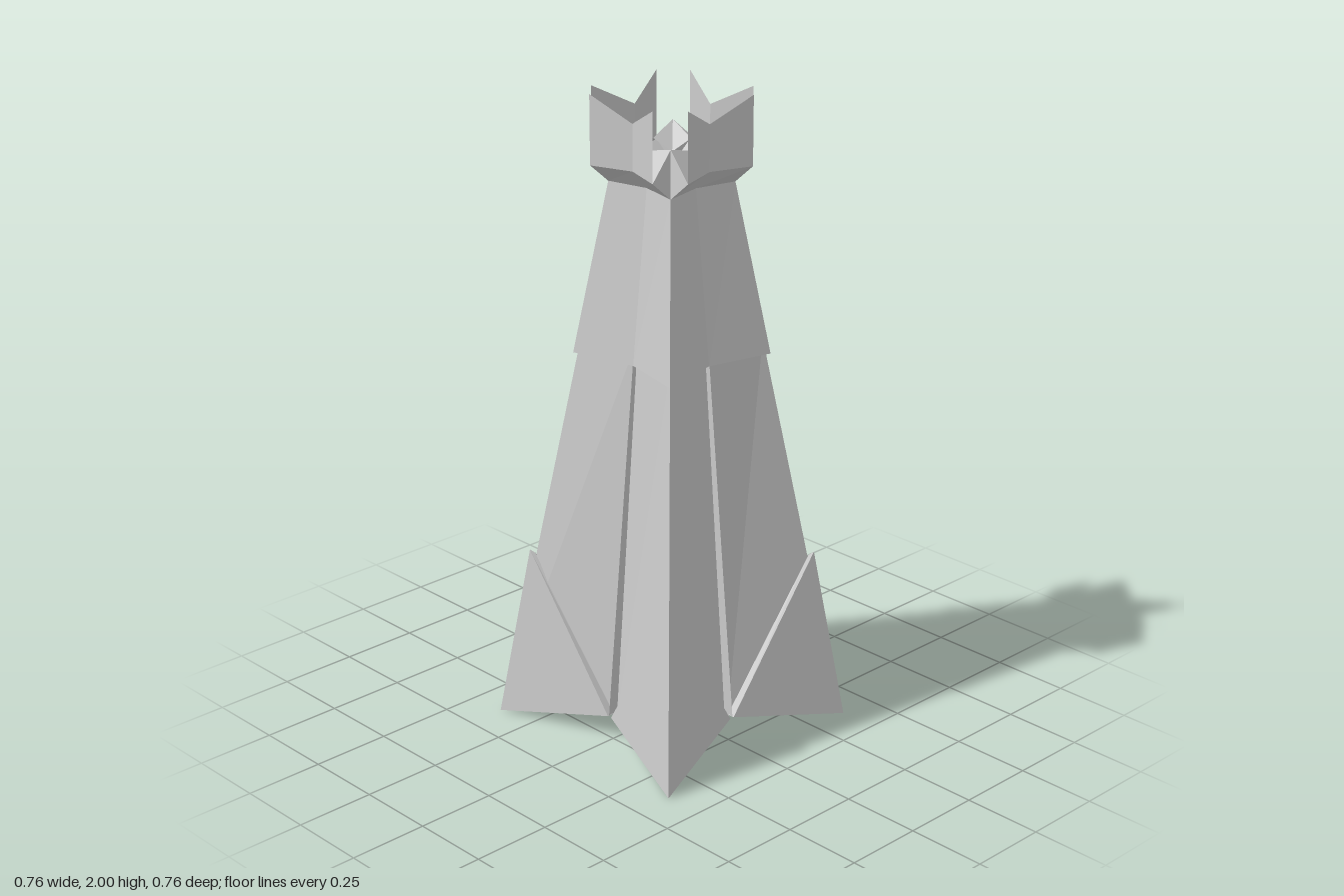
import * as THREE from 'three';

// Each part is described for one eighth (x >= 0, z >= x), as polygons
// counter-clockwise from outside, then mirrored over the x = z diagonal
// and turned four times around the y axis.
function foldedPart(name, polygons, material) {
  const pos = [];
  const fan = (pts) => {
    for (let i = 1; i < pts.length - 1; i++) pos.push(...pts[0], ...pts[i], ...pts[i + 1]);
  };
  for (let k = 0; k < 4; k++) {
    const c = [1, 0, -1, 0][k];
    const s = [0, 1, 0, -1][k];
    const turn = ([x, y, z]) => [c * x + s * z, y, -s * x + c * z];
    for (const poly of polygons) {
      fan(poly.map(turn));
      fan(poly.map(([x, y, z]) => [z, y, x]).reverse().map(turn));
    }
  }
  const geo = new THREE.BufferGeometry();
  geo.setAttribute('position', new THREE.Float32BufferAttribute(pos, 3));
  geo.computeVertexNormals();
  const mesh = new THREE.Mesh(geo, material);
  mesh.name = name;
  return mesh;
}

export function createModel() {
  const group = new THREE.Group();
  group.name = 'foldedPaperTower';
  const paper = new THREE.MeshStandardMaterial({
    color: 0xcccccc, flatShading: true, side: THREE.DoubleSide,
  });
  const add = (name, polygons) => group.add(foldedPart(name, polygons, paper));

  const gap = 0.007; // half width of the slit between the wings
  const at = (r, y) => [r, y, r]; // point on a corner ridge
  const valley = (z, y, x = gap) => [x, y, z]; // point on a side crease

  // Four tapering wings with the walls of the slits
  add('towerWings', [
    [valley(0.24, 0.08), at(0.36, 0.08), at(0.19, 1.25), valley(0.147, 1.25)],
    [valley(0.26, 0.08), valley(0.147, 1.25), valley(0.06, 1.25), valley(0.1, 0.12)],
  ]);

  // Pointed flaps wrapped around the foot of each wing
  add('footFlaps', [
    [valley(0.265, 0.08), at(0.38, 0), at(0.307, 0.555)],
    [valley(0.265, 0.08), at(0.307, 0.555), at(0.296, 0.545), valley(0.24, 0.08)],
  ]);

  // Underside, open at the centre
  add('footUndersides', [
    [at(0.38, 0), valley(0.265, 0.08), valley(0.1, 0.12), at(0.04, 0.12)],
  ]);

  // Collar over the upper tower, with its thin lower rim
  add('collar', [
    [valley(0.157, 1.2, 0), at(0.207, 1.2), at(0.13, 1.73), valley(0.1, 1.73, 0)],
    [valley(0.157, 1.2, 0), valley(0.14, 1.2, 0), at(0.19, 1.2), at(0.207, 1.2)],
  ]);

  // Flange that widens from the collar, with pointed ends at the corners
  const peak = at(0.115, 1.87);
  add('crownFlange', [
    [valley(0.1, 1.73, 0), at(0.13, 1.73), [0.13, 1.79, 0.2], valley(0.155, 1.79, 0)],
    [at(0.13, 1.73), peak, [0.13, 1.79, 0.2]],
  ]);

  // Upright notched battlements
  add('battlements', [
    [valley(0.155, 1.79, 0), [0.13, 1.79, 0.2], [0.13, 2, 0.2], valley(0.155, 1.93, 0)],
  ]);

  // Sloping folds inside the crown, open at the centre
  add('crownInnerFolds', [
    [valley(0.155, 1.79), [0.13, 1.79, 0.2], peak, valley(0.085, 1.84)],
    [peak, at(0.044, 1.8), valley(0.085, 1.84)],
  ]);

  return group;
}
